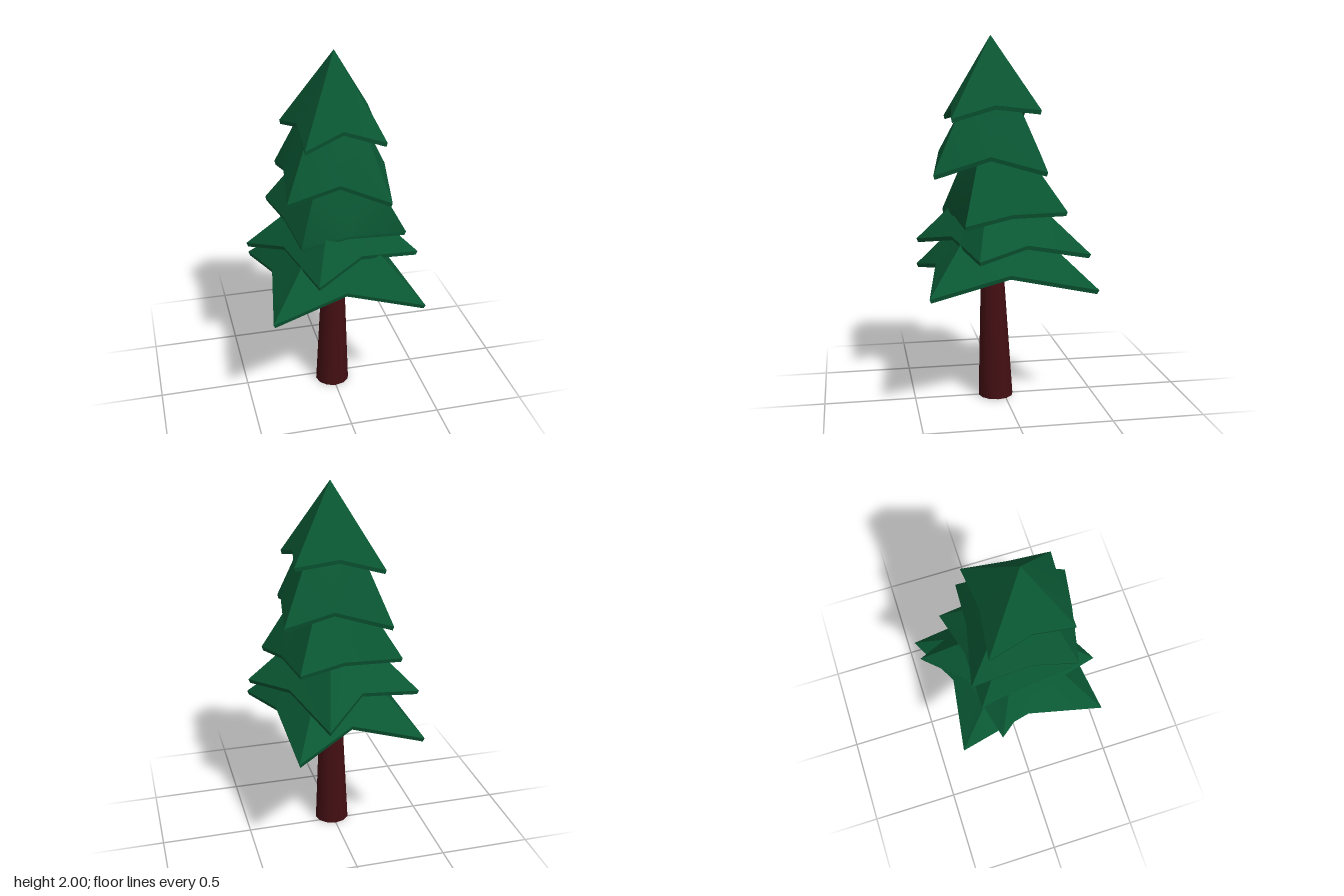
import * as THREE from 'three';
import { toCreasedNormals } from 'three/addons/utils/BufferGeometryUtils.js';

const green = new THREE.MeshStandardMaterial({ color: 0x0a5733 });
const brown = new THREE.MeshStandardMaterial({ color: 0x430f13, side: THREE.DoubleSide });
const AXIS_Z = 0.07;

// Rim points run corner, edge middle, corner... starting back left, then back, back right and on round.
// top: height of the upper ring; ratio: its size against the rim (0 gives a point).
// hollow: height of the middle of the underside.
const tiers = [
  { name: 'bottomBranches', top: 0.96, ratio: 0.42, hollow: 0.785, rim: [
    [-0.409, 0.67, -0.375], [-0.02, 0.765, -0.317], [0.305, 0.66, -0.467], [0.327, 0.765, 0.015],
    [0.414, 0.68, 0.45], [0, 0.77, 0.377], [-0.409, 0.68, 0.45], [-0.338, 0.765, 0.03]] },
  { name: 'lowerBranches', top: 1.12, ratio: 0.42, hollow: 0.95, rim: [
    [-0.448, 0.85, -0.155], [-0.095, 0.92, -0.25], [0.14, 0.82, -0.463], [0.27, 0.91, -0.085],
    [0.445, 0.87, 0.197], [0.1, 0.94, 0.3], [-0.17, 0.88, 0.466], [-0.28, 0.93, 0.08]] },
  { name: 'middleBranches', top: 1.38, ratio: 0.47, hollow: 1.1, rim: [
    [-0.32, 1.09, -0.23], [0, 1.1, -0.23], [0.256, 1.08, -0.3], [0.292, 1.08, 0],
    [0.352, 1.035, 0.258], [0.035, 1.06, 0.28], [-0.228, 1.035, 0.313], [-0.27, 1.09, 0.04]] },
  { name: 'upperBranches', top: 1.6, ratio: 0.56, hollow: 1.4, rim: [
    [-0.256, 1.288, -0.262], [0.045, 1.37, -0.195], [0.31, 1.3, -0.18], [0.267, 1.38, 0.11],
    [0.225, 1.285, 0.405], [-0.032, 1.385, 0.35], [-0.297, 1.288, 0.304], [-0.266, 1.385, 0.055]] },
  { name: 'treetop', top: 2, ratio: 0, hollow: 1.66, rim: [
    [-0.241, 1.565, -0.161], [0, 1.63, -0.13], [0.246, 1.615, -0.158], [0.205, 1.64, 0.075],
    [0.219, 1.575, 0.309], [0, 1.645, 0.284], [-0.202, 1.565, 0.302], [-0.196, 1.63, 0.075]] },
];

// Lofts one tier: upper ring, rim, thin lip and hollow underside
function branchTier({ rim, top, ratio, hollow }) {
  const shrink = ([x, , z], s, y) => [x * s, y, AXIS_Z + (z - AXIS_Z) * s];
  const rings = [
    rim.map(p => shrink(p, 0, top)),
    rim.map(p => shrink(p, ratio, top)),
    rim,
    rim.map(p => shrink(p, 0.98, p[1] - 0.022)),
    rim.map(p => shrink(p, 0, hollow)),
  ];
  const pos = [];
  const n = rim.length;
  const same = (a, b) => a.every((v, i) => Math.abs(v - b[i]) < 1e-6);
  const tri = (a, b, c) => {
    if (!same(a, b) && !same(b, c) && !same(a, c)) pos.push(...a, ...b, ...c);
  };
  for (let r = 0; r < rings.length - 1; r++) {
    for (let i = 0; i < n; i++) {
      const j = (i + 1) % n;
      const [a, b, c, d] = [rings[r][i], rings[r][j], rings[r + 1][i], rings[r + 1][j]];
      // alternate the split so both halves of a side mirror
      if (i % 2 === 0) { tri(a, b, d); tri(a, d, c); }
      else { tri(a, b, c); tri(b, d, c); }
    }
  }
  const geo = new THREE.BufferGeometry();
  geo.setAttribute('position', new THREE.Float32BufferAttribute(pos, 3));
  // soft across the middle of each side, sharp on ridges and lip
  return toCreasedNormals(geo, 0.6);
}

export function createModel() {
  const tree = new THREE.Group();
  tree.name = 'pineTree';

  // Tapered open trunk leaning slightly forward
  const trunkGeo = new THREE.CylinderGeometry(0.06, 0.097, 0.8, 12, 1, true);
  trunkGeo.translate(0, 0.4, 0);
  const p = trunkGeo.attributes.position;
  for (let i = 0; i < p.count; i++) p.setZ(i, p.getZ(i) + 0.045 + 0.025 * p.getY(i));
  const trunk = new THREE.Mesh(trunkGeo, brown);
  trunk.name = 'trunk';
  tree.add(trunk);

  // Stacked branch tiers
  for (const tier of tiers) {
    const mesh = new THREE.Mesh(branchTier(tier), green);
    mesh.name = tier.name;
    tree.add(mesh);
  }
  return tree;
}
